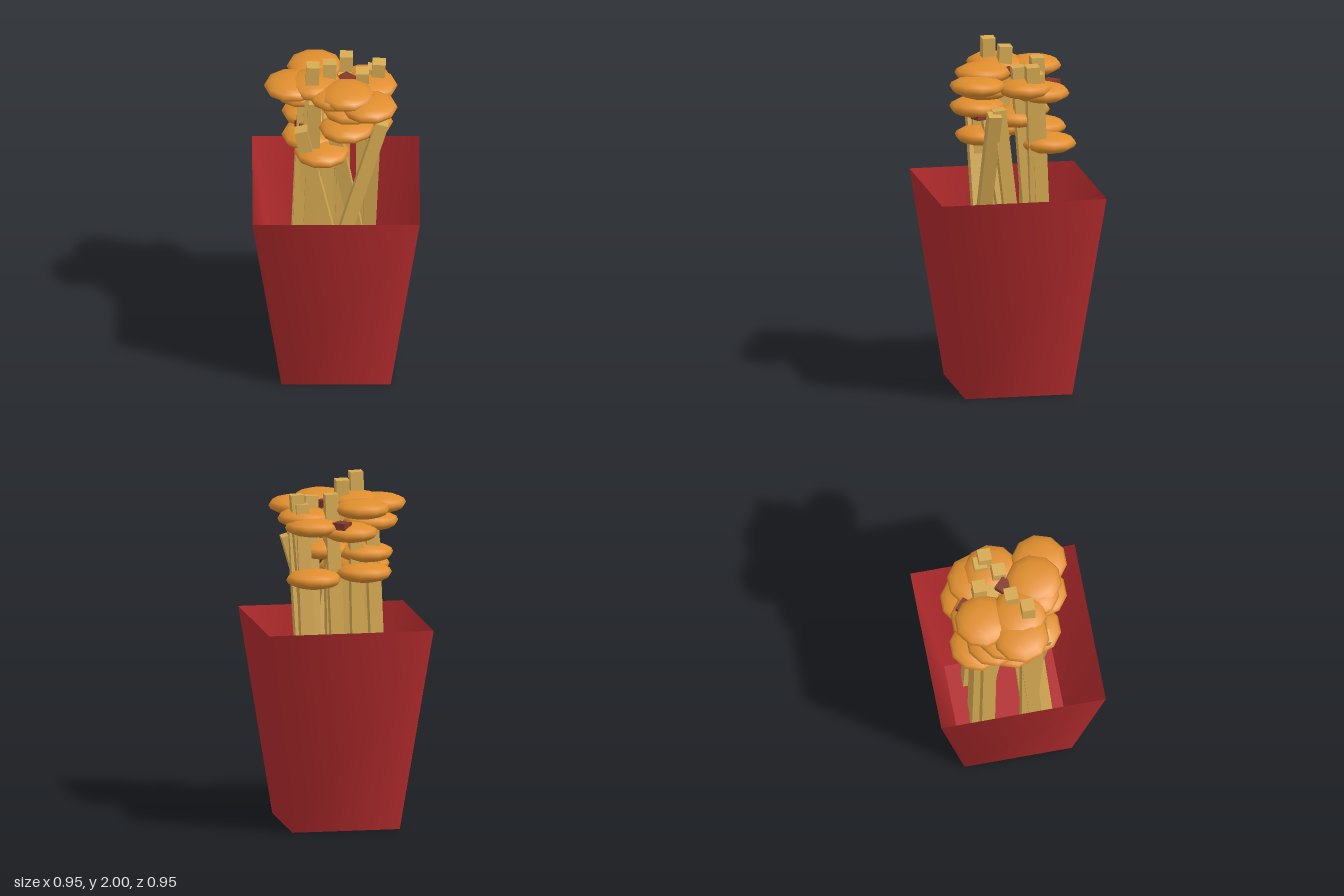
import * as THREE from 'three';

const material = (color, side = THREE.FrontSide) => new THREE.MeshStandardMaterial({ color, side });

export function createModel() {
  const model = new THREE.Group();
  const red = material(0xb02a2c, THREE.DoubleSide);
  const gold = material(0xd6aa52);
  const orange = material(0xe08e2e);
  const brown = material(0x83382a);

  const add = (name, geometry, mat, parent = model) => {
    const mesh = new THREE.Mesh(geometry, mat);
    mesh.name = name;
    parent.add(mesh);
    return mesh;
  };
  const group = (name) => {
    const g = new THREE.Group();
    g.name = name;
    model.add(g);
    return g;
  };

  // Flared square carton, open at the top, softly shaded round its corners
  const R2 = Math.SQRT2, H = 1.17;
  const walls = new THREE.CylinderGeometry(0.475 * R2, 0.31 * R2, H, 4, 1, true);
  walls.rotateY(Math.PI / 4).translate(0, H / 2, 0);
  add('cartonWalls', walls, red);
  const base = new THREE.PlaneGeometry(0.62, 0.62).rotateX(Math.PI / 2);
  add('cartonBase', base, red);

  // Fries: top centre x, y, z, then x and z where they cross the rim
  const fries = group('fries');
  const fryGeometry = new THREE.BoxGeometry(0.075, 1, 0.075);
  const up = new THREE.Vector3(0, 1, 0);
  [
    [-0.13, 2.00, 0.09, -0.17, 0.08],
    [-0.035, 1.97, 0.01, -0.05, 0.05],
    [0.06, 1.92, -0.155, 0.03, -0.17],
    [0.245, 1.91, -0.09, 0.19, -0.12],
    [0.22, 1.86, -0.12, 0.20, -0.15],
    [0.15, 1.89, -0.025, 0.15, -0.08],
    [0.05, 1.82, -0.09, 0.04, -0.10],
    [-0.12, 1.80, 0.16, -0.14, 0.13],
    [-0.18, 1.78, 0.05, -0.20, 0.08],
    [0.26, 1.64, 0.13, 0.12, 0.15],
    [-0.03, 1.68, 0.13, 0.06, 0.06],
    [0.22, 1.66, 0.10, 0.20, 0.04],
    [-0.18, 1.70, -0.14, -0.20, -0.15],
    [-0.08, 1.72, -0.17, -0.09, -0.18],
    [-0.20, 1.62, 0.17, -0.10, 0.16],
  ].forEach(([x, y, z, rx, rz]) => {
    const top = new THREE.Vector3(x, y, z);
    const dir = new THREE.Vector3(x - rx, y - H, z - rz).normalize();
    const length = (y - 0.1) / dir.y;
    const fry = add('fry', fryGeometry, gold, fries);
    fry.scale.y = length;
    fry.quaternion.setFromUnitVectors(up, dir);
    fry.position.copy(top).addScaledVector(dir, -length / 2);
  });

  // Flattened round toppings: centre x, y, z
  const discs = group('roundToppings');
  const discGeometry = new THREE.SphereGeometry(0.16, 10, 8).scale(1, 0.35, 1);
  [
    [-0.25, 1.825, 0.03],
    [-0.12, 1.84, 0.04],
    [-0.12, 1.83, -0.17],
    [-0.125, 1.47, -0.20],
    [-0.05, 1.70, -0.18],
    [0.165, 1.44, -0.20],
    [0.165, 1.735, -0.16],
    [0.19, 1.77, -0.06],
    [0.06, 1.84, 0.16],
    [0.00, 1.825, 0.135],
    [0.08, 1.75, 0.155],
    [0.19, 1.795, 0.215],
    [0.06, 1.645, 0.19],
    [-0.08, 1.445, 0.13],
    [-0.19, 1.74, -0.05],
    [-0.15, 1.57, -0.11],
    [0.08, 1.58, -0.03],
    [-0.15, 1.48, 0.00],
  ].forEach(([x, y, z]) => add('roundTopping', discGeometry, orange, discs).position.set(x, y, z));

  // Small dark bits scattered among the toppings: centre x, y, z and turn
  const bits = group('darkBits');
  const bitGeometry = new THREE.BoxGeometry(0.08, 0.04, 0.08);
  [
    [0.06, 1.84, -0.01, 0.8],
    [0.01, 1.75, -0.245, 0.85],
    [0.14, 1.61, 0.19, 0.4],
    [-0.18, 1.59, 0.07, 0.6],
  ].forEach(([x, y, z, turn]) => {
    const bit = add('darkBit', bitGeometry, brown, bits);
    bit.position.set(x, y, z);
    bit.rotation.y = turn;
  });

  return model;
}
